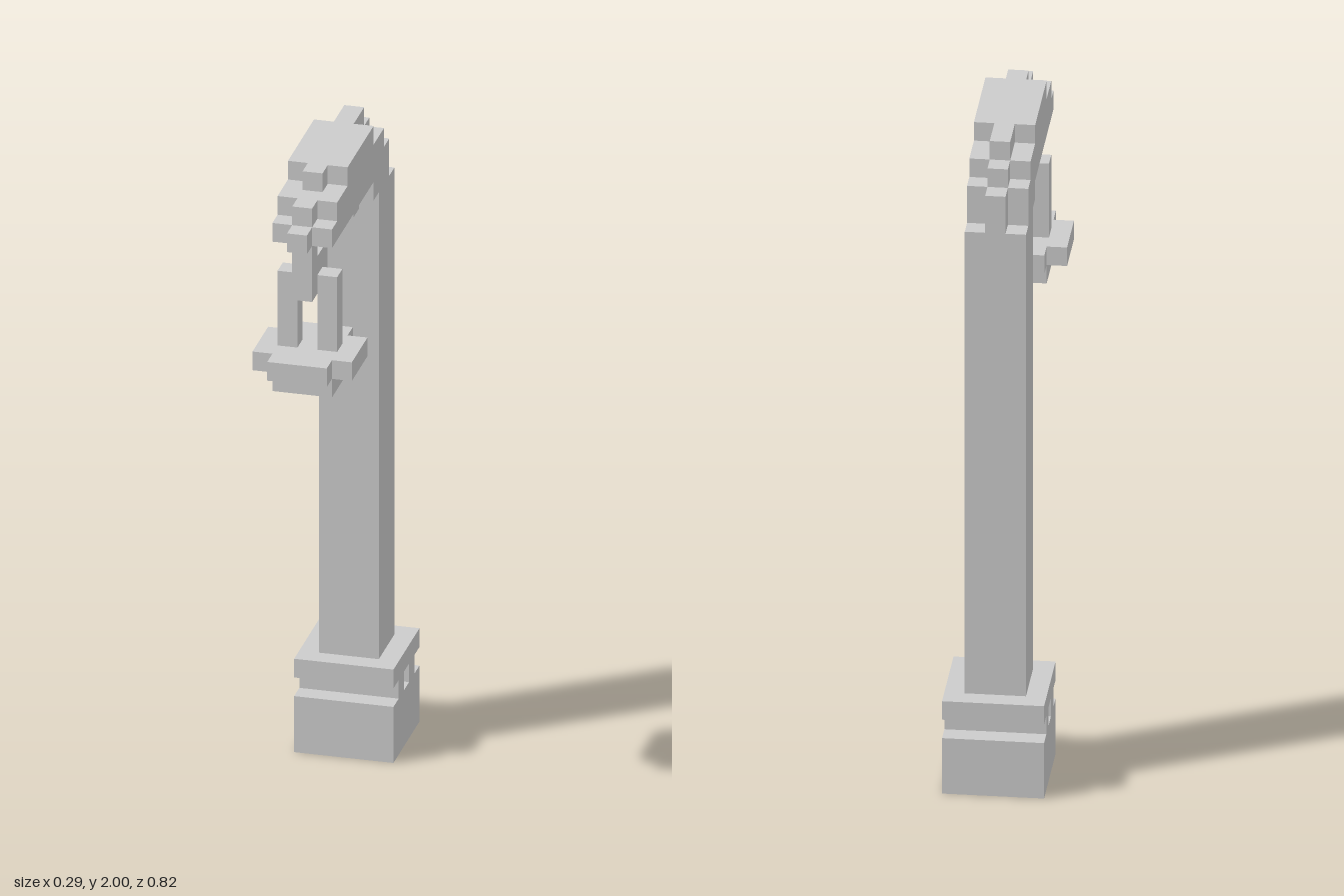
import * as THREE from 'three';

const U = 2 / 34; // one block
const material = new THREE.MeshStandardMaterial({ color: 0xcccccc, flatShading: true });

// Box given by its block ranges along x, y and z
function block(parent, name, [x0, x1], [y0, y1], [z0, z1]) {
  const geometry = new THREE.BoxGeometry((x1 - x0) * U, (y1 - y0) * U, (z1 - z0) * U);
  const mesh = new THREE.Mesh(geometry, material);
  mesh.position.set((x0 + x1) * U / 2, (y0 + y1) * U / 2, (z0 + z1) * U / 2);
  mesh.name = name;
  parent.add(mesh);
}

// Strip of constant width, extruded from a stepped side outline of [z, y] points
function strip(parent, name, x0, x1, outline) {
  const shape = new THREE.Shape(outline.map(([z, y]) => new THREE.Vector2(-z * U, y * U)));
  const geometry = new THREE.ExtrudeGeometry(shape, { depth: (x1 - x0) * U, bevelEnabled: false });
  geometry.rotateY(Math.PI / 2).translate(x0 * U, 0, 0);
  const mesh = new THREE.Mesh(geometry, material);
  mesh.name = name;
  parent.add(mesh);
}

export function createModel() {
  const model = new THREE.Group();
  model.name = 'streetLamp';
  const wide = [-2.5, 2.5], mid = [-1.5, 1.5], thin = [-0.5, 0.5];

  // Foot: block, two ribs with a slot between, and a collar
  const foot = new THREE.Group();
  foot.name = 'foot';
  model.add(foot);
  block(foot, 'base', wide, [0, 3], [-7, -2]);
  for (const z of [-6, -4]) block(foot, 'neckRib', wide, [3, 4], [z, z + 1]);
  block(foot, 'collar', wide, [4, 5], [-7, -2]);

  // Pole
  block(model, 'pole', mid, [5, 30], [-6, -3]);

  // Curved arm: a longer middle strip between two shorter side strips
  const arm = new THREE.Group();
  arm.name = 'arm';
  model.add(arm);
  strip(arm, 'armMiddle', -0.5, 0.5, [
    [-6, 30], [-6, 32], [-5, 32], [-5, 33], [-4, 33], [-4, 34], [4, 34], [4, 33], [6, 33], [6, 32],
    [7, 32], [7, 31], [0, 31], [0, 30], [-2, 30], [-2, 29], [-3, 29], [-3, 30],
  ]);
  for (const x of [-1.5, 0.5]) {
    strip(arm, 'armSide', x, x + 1, [
      [-5, 30], [-5, 32], [-4, 32], [-4, 33], [-2, 33], [-2, 34], [3, 34], [3, 33], [5, 33], [5, 32],
      [6, 32], [6, 31], [-2, 31], [-2, 30],
    ]);
  }

  // Hanging lamp: hook, two posts, cross-shaped tray and bottom
  const lamp = new THREE.Group();
  lamp.name = 'lamp';
  model.add(lamp);
  block(lamp, 'hook', thin, [30, 31], [5, 6]);
  block(lamp, 'hanger', thin, [28, 30], [3, 6]);
  for (const x of [-1.5, 0.5]) block(lamp, 'post', [x, x + 1], [25, 29], [4, 5]);
  block(lamp, 'trayAcross', wide, [24, 25], [3, 6]);
  for (const z of [2, 6]) block(lamp, 'trayEnd', mid, [24, 25], [z, z + 1]);
  block(lamp, 'lampBottom', mid, [23, 24], [3, 6]);

  return model;
}
